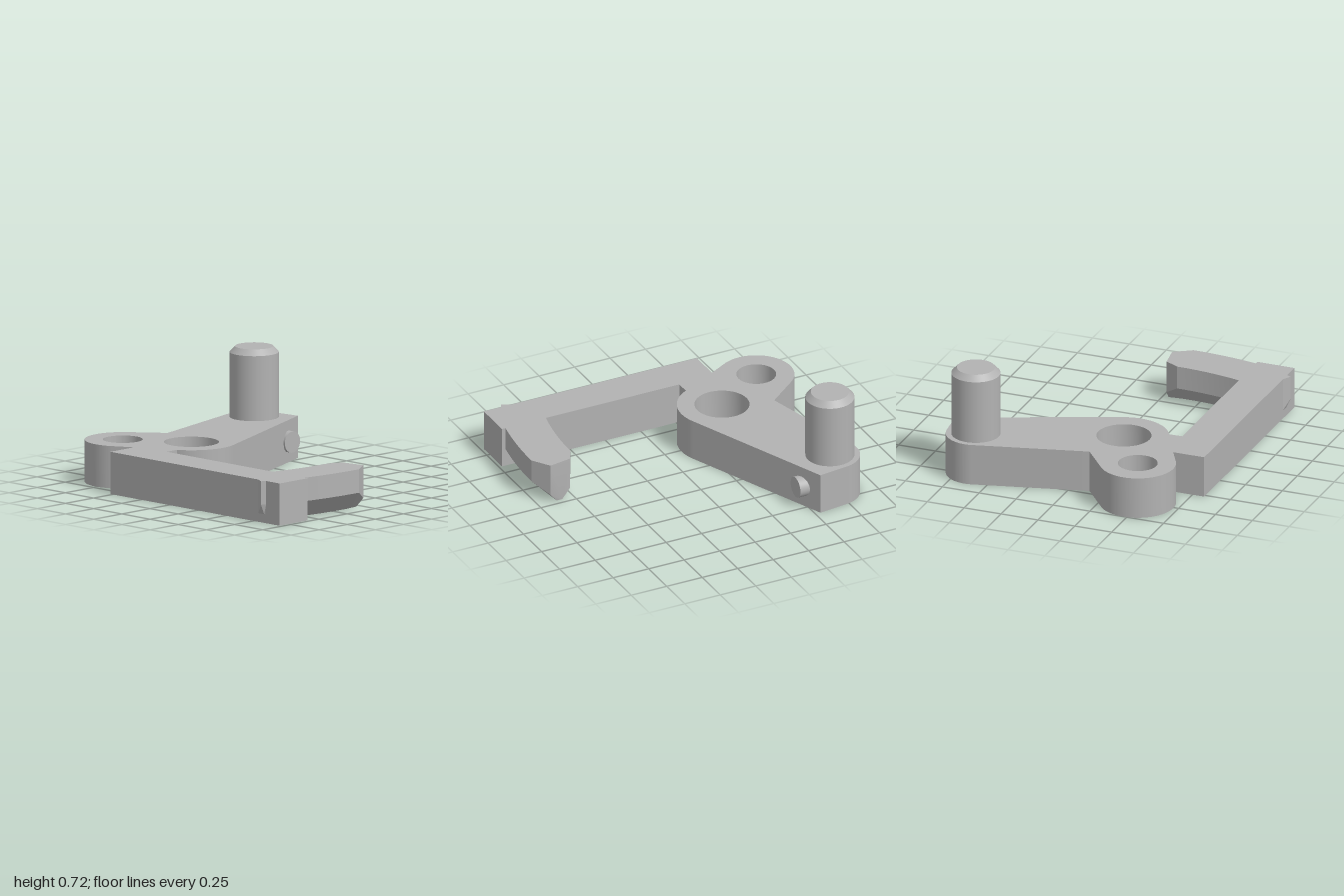
import * as THREE from 'three';
import { toCreasedNormals } from 'three/addons/utils/BufferGeometryUtils.js';

const H = 0.27; // plate thickness

// Joins equal convex rings into a closed faceted solid; rings run counter-clockwise about the direction of travel.
function loft(rings) {
  const pos = [];
  const tri = (a, b, c) => pos.push(...a, ...b, ...c);
  const n = rings[0].length;
  for (let i = 0; i < rings.length - 1; i++) {
    for (let j = 0; j < n; j++) {
      const k = (j + 1) % n, r = rings[i], s = rings[i + 1];
      tri(r[j], r[k], s[k]);
      tri(r[j], s[k], s[j]);
    }
  }
  const first = rings[0], last = rings[rings.length - 1];
  for (let j = 1; j < n - 1; j++) {
    tri(first[0], first[j + 1], first[j]);
    tri(last[0], last[j], last[j + 1]);
  }
  const g = new THREE.BufferGeometry();
  g.setAttribute('position', new THREE.Float32BufferAttribute(pos, 3));
  g.computeVertexNormals();
  return g;
}

// Lever plate with the long arm; shape y is -z
function plateGeometry() {
  const rad = THREE.MathUtils.degToRad;
  const s = new THREE.Shape();
  s.moveTo(-0.83, -0.98);
  s.lineTo(-0.58, -0.98);
  s.lineTo(-0.58, 0.27);
  s.lineTo(-0.49, 0.27);
  s.absarc(-0.235, 0.395, 0.284, rad(-153.9), rad(-67.4), false);
  s.lineTo(0.853, 0.535);
  s.absarc(0.64, 0.71, 0.19, rad(8), rad(104.2), false);
  s.lineTo(-0.13, 0.71);
  s.absarc(-0.478, 0.76, 0.24, rad(38), rad(208), false);
  s.lineTo(-0.62, 0.52);
  s.lineTo(-0.83, 0.52);
  s.closePath();
  for (const [x, y, r] of [[-0.235, 0.395, 0.173], [-0.478, 0.76, 0.125]]) {
    s.holes.push(new THREE.Path().absarc(x, y, r, 0, Math.PI * 2, true));
  }
  const g = new THREE.ExtrudeGeometry(s, { depth: H, bevelEnabled: false, curveSegments: 40 });
  g.rotateX(-Math.PI / 2);
  return toCreasedNormals(g, 0.3);
}

// Curved hook with a wedge-shaped underside and a chamfered tip
function hookGeometry() {
  const ring = (xi, xo, zi, zo, low, c) => {
    const xm = (xi + xo) / 2;
    return [[xm, 0, c - 0.02], [xi, low, zi], [xi, H, zi], [xo, H, zo], [xo, low, zo], [xm, 0, c + 0.02]];
  };
  const rings = [];
  const steps = 12;
  for (let i = 0; i <= steps; i++) {
    const t = i / steps, x = -0.58 + 0.44 * t;
    const bow = 1 - (1 - t) ** 2;
    const zi = 0.67 + 0.052 * bow, zo = 0.955 + 0.042 * bow;
    rings.push(ring(x, x, zi, zo, 0.12, (zi + zo) / 2));
  }
  rings.push(ring(-0.05, -0.025, 0.77, 0.92, 0.06, 0.85));
  return toCreasedNormals(loft(rings), 0.3);
}

// Small pointed barb on the outer side of the arm
function barbGeometry() {
  const ring = (x, y) => [[-0.83, y, 0.79], [-0.83, y, 0.86], [x, y, 0.845]];
  return loft([ring(-0.86, H), ring(-0.86, 0.12), ring(-0.831, 0.055)]);
}

export function createModel() {
  const group = new THREE.Group();
  const steel = new THREE.MeshStandardMaterial({ color: 0xb2b2b2 });
  steel.name = 'grey steel';

  const add = (name, geometry, x = 0, y = 0, z = 0) => {
    const mesh = new THREE.Mesh(geometry, steel);
    mesh.name = name;
    mesh.position.set(x, y, z);
    group.add(mesh);
    return mesh;
  };

  add('leverPlate', plateGeometry());
  add('hook', hookGeometry());
  add('barb', barbGeometry());

  // Upright pin with a chamfered top
  const pin = new THREE.Group();
  pin.name = 'pin';
  pin.position.set(0.64, 0, -0.71);
  pin.add(add('pinShaft', new THREE.CylinderGeometry(0.155, 0.155, 0.485, 48, 1, true), 0, 0.4425, 0));
  pin.add(add('pinChamfer', new THREE.CylinderGeometry(0.12, 0.155, 0.037, 48), 0, 0.7035, 0));
  group.add(pin);

  // Set screw poking out of the plate's front edge
  const screw = add('setScrew', new THREE.CylinderGeometry(0.068, 0.068, 0.2, 40), 0.705, 0.135, -0.535);
  screw.rotation.x = Math.PI / 2;

  return group;
}
